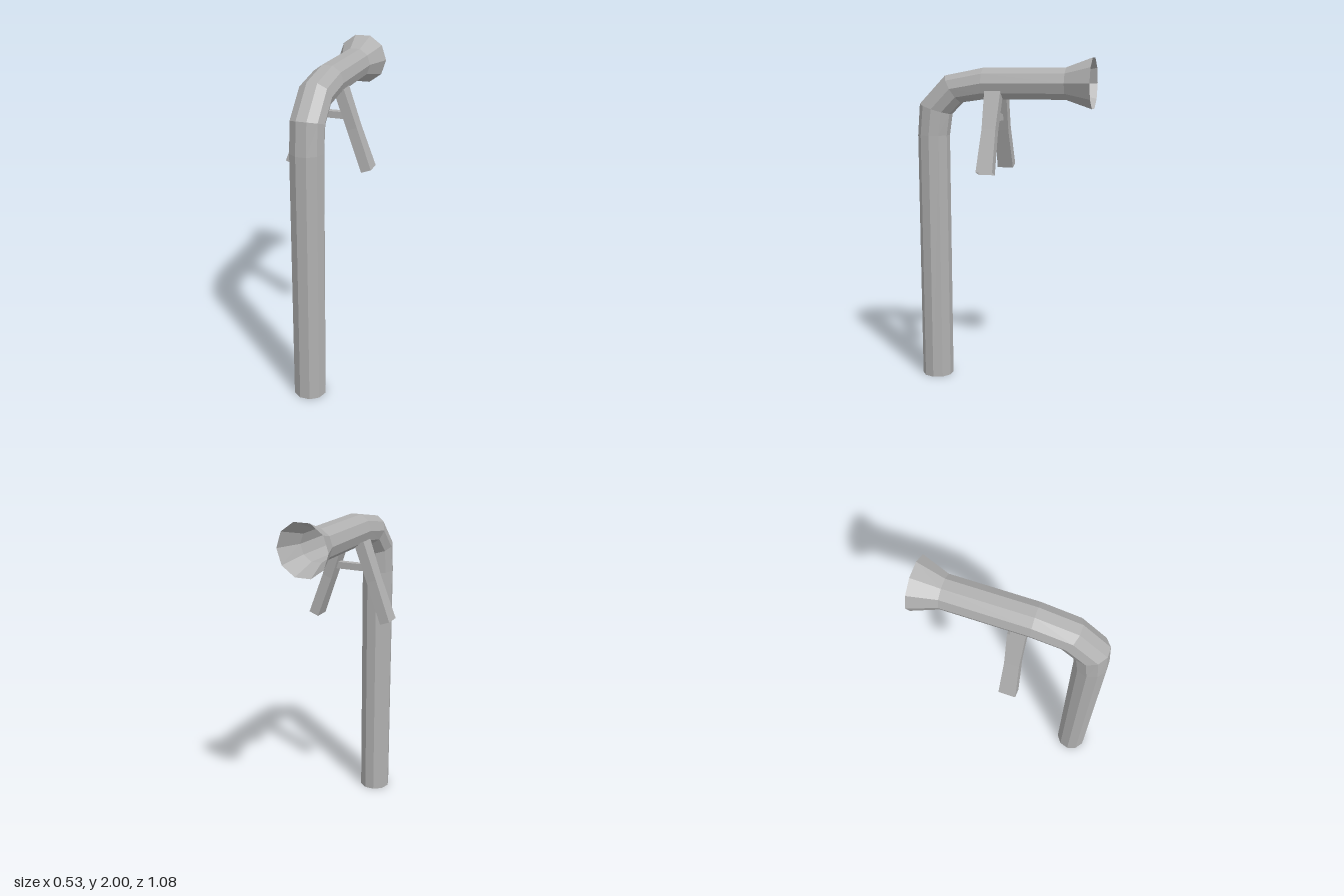
import * as THREE from 'three';

const SIDES = 10;
const HALF = Math.PI / SIDES;
const CENTRE_X = 0.007;

// Skin a list of equal-length closed rings into an open tube.
function loft(rings) {
  const n = rings[0].length;
  const index = [];
  for (let r = 0; r < rings.length - 1; r++) {
    for (let k = 0; k < n; k++) {
      const a = r * n + k, b = r * n + (k + 1) % n;
      index.push(a, b, b + n, a, b + n, a + n);
    }
  }
  const geometry = new THREE.BufferGeometry();
  geometry.setAttribute('position', new THREE.Float32BufferAttribute(rings.flat(2), 3));
  geometry.setIndex(index);
  const flat = geometry.toNonIndexed();
  flat.computeVertexNormals();
  return flat;
}

// Ten-sided ring spanning from an outer to an inner point in the z-y plane.
function pipeRing([oz, oy, iz, iy, radius]) {
  const ring = [];
  for (let k = 0; k < SIDES; k++) {
    const a = HALF * (2 * k - 1);
    const t = 0.5 * Math.cos(a) / Math.cos(HALF);
    ring.push([
      CENTRE_X + radius * Math.sin(a),
      (oy + iy) / 2 + (oy - iy) * t,
      (oz + iz) / 2 + (oz - iz) * t,
    ]);
  }
  return ring;
}

// Rectangular ring of a leg: centre x, y and its z range.
function legRing(side, [x, y, z0, z1]) {
  const ux = 0.029, uy = 0.011 * side;
  const cx = side * x;
  return [
    [cx - ux, y - uy, z1], [cx + ux, y + uy, z1],
    [cx + ux, y + uy, z0], [cx - ux, y - uy, z0],
  ];
}

export function createModel() {
  const model = new THREE.Group();
  model.name = 'bentPipe';
  const grey = new THREE.MeshStandardMaterial({ color: 0xb0b0b0, flatShading: true, side: THREE.DoubleSide });
  grey.name = 'grey metal';

  function add(geometry, name) {
    const mesh = new THREE.Mesh(geometry, grey);
    mesh.name = name;
    model.add(mesh);
    return mesh;
  }

  // Upright, elbow and horizontal run: outer z, y, inner z, y, radius
  const neck = [-0.38, 1.945, -0.38, 1.76, 0.098];
  add(loft([
    [0.536, 0, 0.35, 0, 0.098],
    [0.54, 1.54, 0.354, 1.54, 0.098],
    [0.525, 1.73, 0.335, 1.67, 0.098],
    [0.36, 1.9, 0.265, 1.74, 0.098],
    [0.12, 1.945, 0.12, 1.76, 0.098],
    neck,
  ].map(pipeRing)), 'pipe');

  // Open flared mouth at the back
  add(loft([neck, [-0.537, 2, -0.537, 1.708, 0.155]].map(pipeRing)), 'flare');

  // Splayed legs, slightly pinched in the middle
  for (const side of [1, -1]) {
    const rings = [
      [0.236, 1.338, 0.0, 0.1],
      [0.145, 1.58, 0.006, 0.09],
      [0.067, 1.8, -0.002, 0.096],
    ].map((s) => legRing(side, s));
    add(loft(rings), side > 0 ? 'leftLeg' : 'rightLeg');
  }

  // Crossbar joining the legs
  add(new THREE.BoxGeometry(0.22, 0.04, 0.04), 'crossbar').position.set(0, 1.65, 0.05);

  return model;
}
